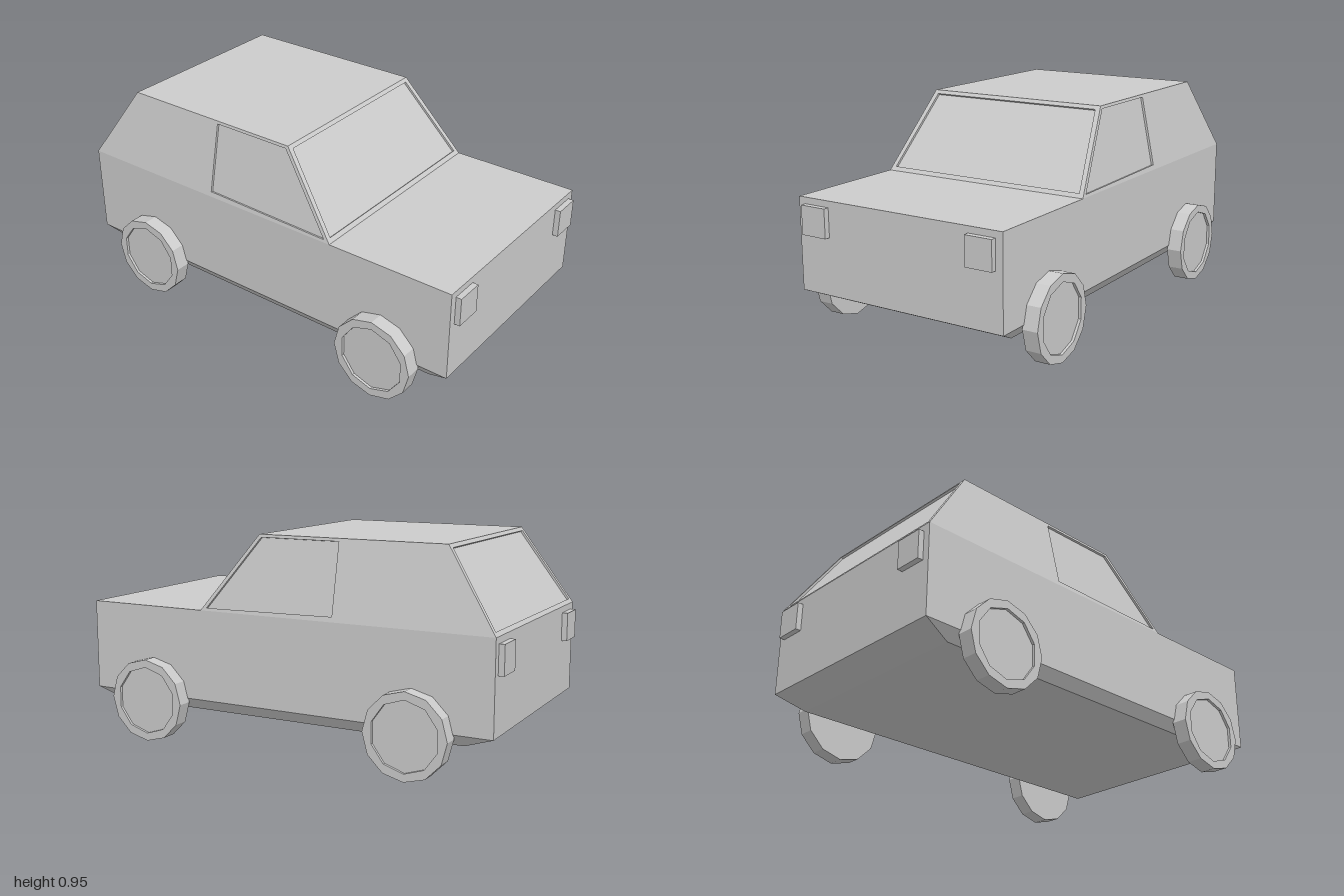
import * as THREE from 'three';

const material = new THREE.MeshStandardMaterial({ color: 0xcccccc, flatShading: true });

function addMesh(parent, name, geometry) {
  const mesh = new THREE.Mesh(geometry, material);
  mesh.name = name;
  parent.add(mesh);
  return mesh;
}

// Skin a stack of four-cornered loops; the last loop is capped, the first on request
function loft(loops, capFirst = false) {
  const pos = [];
  const quad = (a, b, c, d) => pos.push(...a, ...b, ...c, ...a, ...c, ...d);
  for (let k = 0; k < loops.length - 1; k++) {
    const lo = loops[k], hi = loops[k + 1];
    for (let i = 0; i < 4; i++) {
      const j = (i + 1) % 4;
      quad(lo[i], lo[j], hi[j], hi[i]);
    }
  }
  quad(...loops[loops.length - 1]);
  if (capFirst) quad(...[...loops[0]].reverse());
  const geometry = new THREE.BufferGeometry();
  geometry.setAttribute('position', new THREE.Float32BufferAttribute(pos, 3));
  geometry.computeVertexNormals();
  return geometry;
}

const rect = (w, y, front, back) => [[-w, y, front], [w, y, front], [w, y, back], [-w, y, back]];

// Panel with a window pane sunk along the panel's normal
function windowPanel(outer, inner, depth = 0.01) {
  const [a, b, , d] = outer.map(p => new THREE.Vector3(...p));
  const n = b.sub(a).cross(d.sub(a)).normalize().multiplyScalar(-depth);
  const pane = inner.map(p => [p[0] + n.x, p[1] + n.y, p[2] + n.z]);
  return loft([outer, inner, pane]);
}

// Cabin dimensions
const Y0 = 0.61, Y1 = 0.95, W0 = 0.505, W1 = 0.435;
const FRONT = [0.39, 0.125], BACK = [-0.975, -0.745];
const at = (a, b, y) => a + (b - a) * (y - Y0) / (Y1 - Y0);

function buildCabin() {
  const cabin = new THREE.Group();
  cabin.name = 'cabin';

  // Windscreen, and tailgate as the same panel turned around
  const endPanel = ([z0, z1], sign) => {
    const p = (x, y) => [sign * x, y, at(z0, z1, y)];
    return windowPanel(
      [p(-W0, Y0), p(W0, Y0), p(W1, Y1), p(-W1, Y1)],
      [p(-0.48, 0.627), p(0.48, 0.627), p(0.415, 0.935), p(-0.415, 0.935)]);
  };
  addMesh(cabin, 'windscreenPanel', endPanel(FRONT, 1));
  addMesh(cabin, 'tailgatePanel', endPanel(BACK, -1));

  // Sides with door windows
  for (const [name, sign] of [['leftSide', 1], ['rightSide', -1]]) {
    const side = points => {
      const loop = points.map(([z, y]) => [sign * at(W0, W1, y), y, z]);
      return sign > 0 ? loop : loop.reverse();
    };
    addMesh(cabin, name, windowPanel(
      side([[FRONT[0], Y0], [BACK[0], Y0], [BACK[1], Y1], [FRONT[1], Y1]]),
      side([[0.36, 0.622], [-0.26, 0.632], [-0.26, 0.937], [0.115, 0.937]])));
  }

  addMesh(cabin, 'roof', loft([rect(W1, Y1, FRONT[1], BACK[1])]));
  return cabin;
}

// Regular polygon outline with one corner at the top
function polygon(Type, radius, sides) {
  return new Type(Array.from({ length: sides }, (_, i) => {
    const a = Math.PI / 2 + i / sides * Math.PI * 2;
    return new THREE.Vector2(Math.cos(a) * radius, Math.sin(a) * radius);
  }));
}

function buildWheel(name, sign, z) {
  const wheel = new THREE.Group();
  wheel.name = name;
  const tyre = polygon(THREE.Shape, 0.187, 12);
  tyre.holes.push(polygon(THREE.Path, 0.152, 10));
  addMesh(wheel, 'tyre', new THREE.ExtrudeGeometry(tyre, { depth: 0.07, bevelEnabled: false }));
  addMesh(wheel, 'hub', new THREE.ExtrudeGeometry(polygon(THREE.Shape, 0.152, 10),
    { depth: 0.058, bevelEnabled: false }));
  wheel.rotation.y = sign * Math.PI / 2;
  wheel.position.set(sign * 0.5, 0.187, z);
  return wheel;
}

export function createModel() {
  const car = new THREE.Group();
  car.name = 'car';

  // Lower body with a chamfered underside
  addMesh(car, 'body', loft([
    rect(0.47, 0.155, 0.87, -0.84),
    rect(W0, 0.205, 0.975, -0.975),
    rect(W0, Y0, 0.975, -0.975),
  ], true));
  car.add(buildCabin());

  // Wheels and lamps at each corner
  for (const [side, sx] of [['Left', 1], ['Right', -1]]) {
    car.add(buildWheel(`front${side}Wheel`, sx, 0.652));
    car.add(buildWheel(`rear${side}Wheel`, sx, -0.623));
    for (const [lamp, sz] of [['headlamp', 1], ['tailLamp', -1]]) {
      addMesh(car, lamp + side, new THREE.BoxGeometry(0.125, 0.127, 0.05))
        .position.set(sx * 0.41, 0.518, sz * 0.975);
    }
  }
  return car;
}
